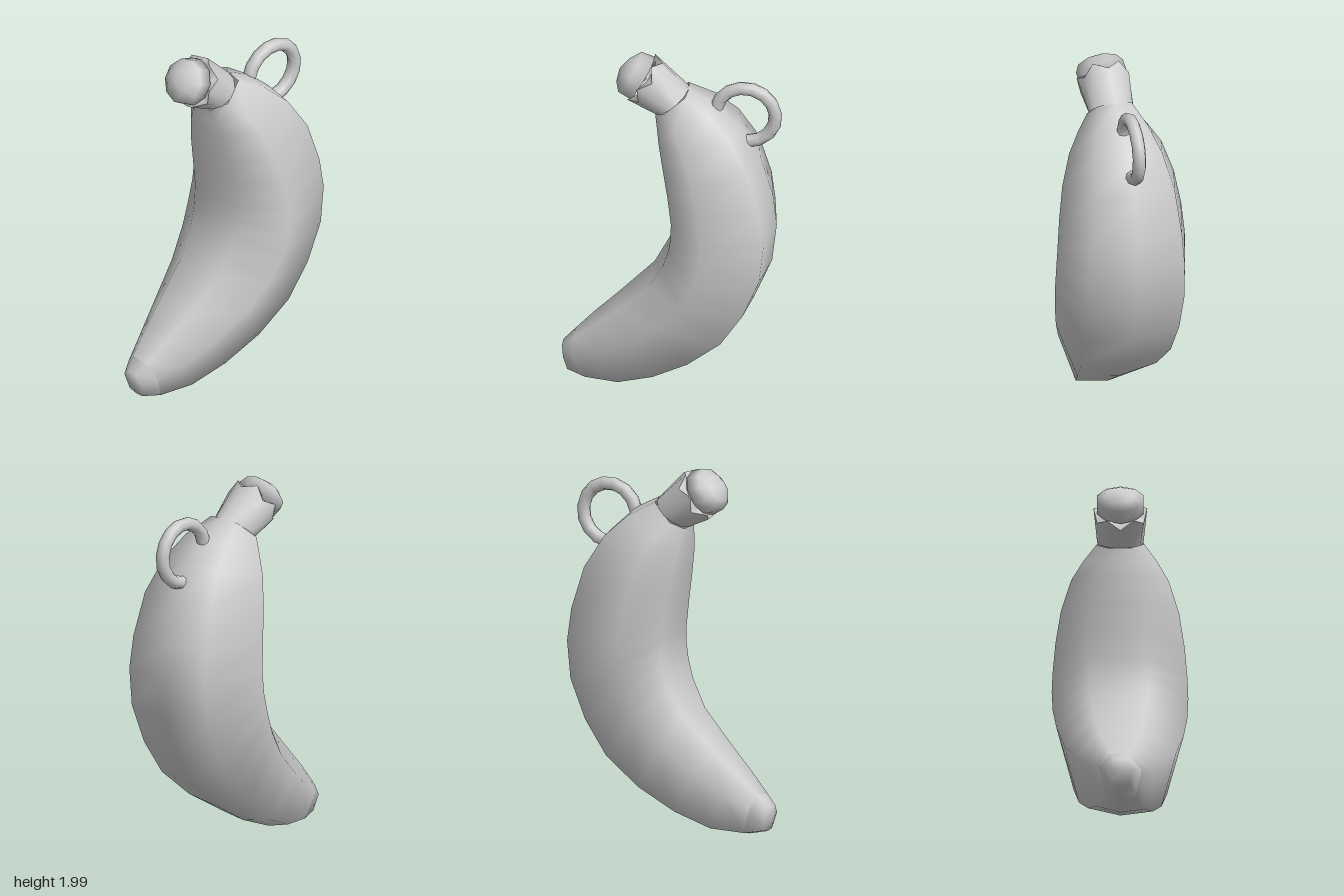
import * as THREE from 'three';

// Slightly uneven seven-sided outline [x, front/back], starting at the back
const peel = [[0, -1], [0.73, -0.9], [0.99, 0.25], [0.43, 0.94], [-0.46, 1], [-1, 0.42], [-0.73, -0.82]];
const round = (n) => Array.from({ length: n }, (_, i) => {
  const a = (i / n) * Math.PI * 2;
  return [Math.sin(a), -Math.cos(a)];
});

// Skin over sections [frontZ, frontY, backZ, backY, halfWidth, zigzag]
function loft(outline, sections, capStart, capEnd) {
  const n = outline.length, pos = [], idx = [];
  for (const [fz, fy, bz, by, w, zig = 0] of sections) {
    const dz = (fz - bz) / 2, dy = (fy - by) / 2, len = Math.hypot(dz, dy);
    outline.forEach(([u, v], j) => {
      const s = (j % 2 ? zig : -zig) / len;
      pos.push(u * w, (fy + by) / 2 + dy * v + dz * s, (fz + bz) / 2 + dz * v - dy * s);
    });
  }
  for (let i = 0; i < sections.length - 1; i++) {
    for (let j = 0; j < n; j++) {
      const a = i * n + j, b = i * n + (j + 1) % n;
      idx.push(a, a + n, b, b, a + n, b + n);
    }
  }
  // Close an end with a fan to a [z, y] point
  const cap = ([z, y], ring, flip) => {
    const c = pos.length / 3;
    pos.push(0, y, z);
    for (let j = 0; j < n; j++) {
      const a = ring * n + j, b = ring * n + (j + 1) % n;
      idx.push(...(flip ? [a, b, c] : [b, a, c]));
    }
  };
  if (capStart) cap(capStart, 0, true);
  if (capEnd) cap(capEnd, sections.length - 1, false);
  const g = new THREE.BufferGeometry();
  g.setAttribute('position', new THREE.Float32BufferAttribute(pos, 3));
  g.setIndex(idx);
  g.computeVertexNormals();
  return g;
}

export function createModel() {
  const group = new THREE.Group();
  const grey = new THREE.MeshStandardMaterial({ color: 0xcccccc, side: THREE.DoubleSide });
  grey.name = 'plain grey';
  const add = (name, geometry) => {
    const mesh = new THREE.Mesh(geometry, grey);
    mesh.name = name;
    group.add(mesh);
    return mesh;
  };

  // Curved fruit body, from the low tip up to the stem
  add('body', loft(peel, [
    [0.54, 0.24, 0.46, 0.01, 0.115],
    [0.44, 0.34, 0.27, 0.015, 0.175],
    [0.30, 0.47, 0.07, 0.09, 0.24],
    [0.12, 0.65, -0.13, 0.21, 0.305],
    [0.04, 0.80, -0.32, 0.37, 0.345],
    [0.01, 0.90, -0.45, 0.57, 0.365],
    [0, 0.98, -0.545, 0.80, 0.37],
    [0, 1.06, -0.57, 1.02, 0.365],
    [0.02, 1.22, -0.55, 1.20, 0.35],
    [0.045, 1.37, -0.48, 1.44, 0.32],
    [0.07, 1.52, -0.37, 1.62, 0.265],
    [0.08, 1.60, -0.24, 1.74, 0.2],
    [0.09, 1.67, -0.09, 1.82, 0.13],
  ]));

  // Blunt end of the fruit
  add('tip', loft(peel, [
    [0.60, 0.18, 0.565, 0.035, 0.07],
    [0.54, 0.24, 0.46, 0.01, 0.115],
  ], [0.6, 0.11]));

  // Flared stem with a jagged rim, and the lip inside it
  const rim = [0.225, 1.735, 0.075, 1.98, 0.145, 0.025];
  add('stem', loft(round(12), [[0.09, 1.67, -0.09, 1.82, 0.125], rim]));
  add('stemLip', loft(round(12), [rim, [0.21, 1.765, 0.095, 1.95, 0.115]]));

  // Rounded knob on the stem
  add('knob', loft(round(10), [
    [0.23, 1.75, 0.10, 1.98, 0.132],
    [0.295, 1.79, 0.17, 2.0, 0.132],
    [0.305, 1.84, 0.235, 1.965, 0.08],
  ], [0.165, 1.865], [0.29, 1.91]));

  // Hanging loop, its ends sunk into the back
  const loop = new THREE.TorusGeometry(0.163, 0.037, 8, 12, THREE.MathUtils.degToRad(280));
  loop.rotateZ(THREE.MathUtils.degToRad(-110)).rotateY(Math.PI / 2);
  add('hangingLoop', loop).position.set(0, 1.69, -0.4);

  return group;
}
